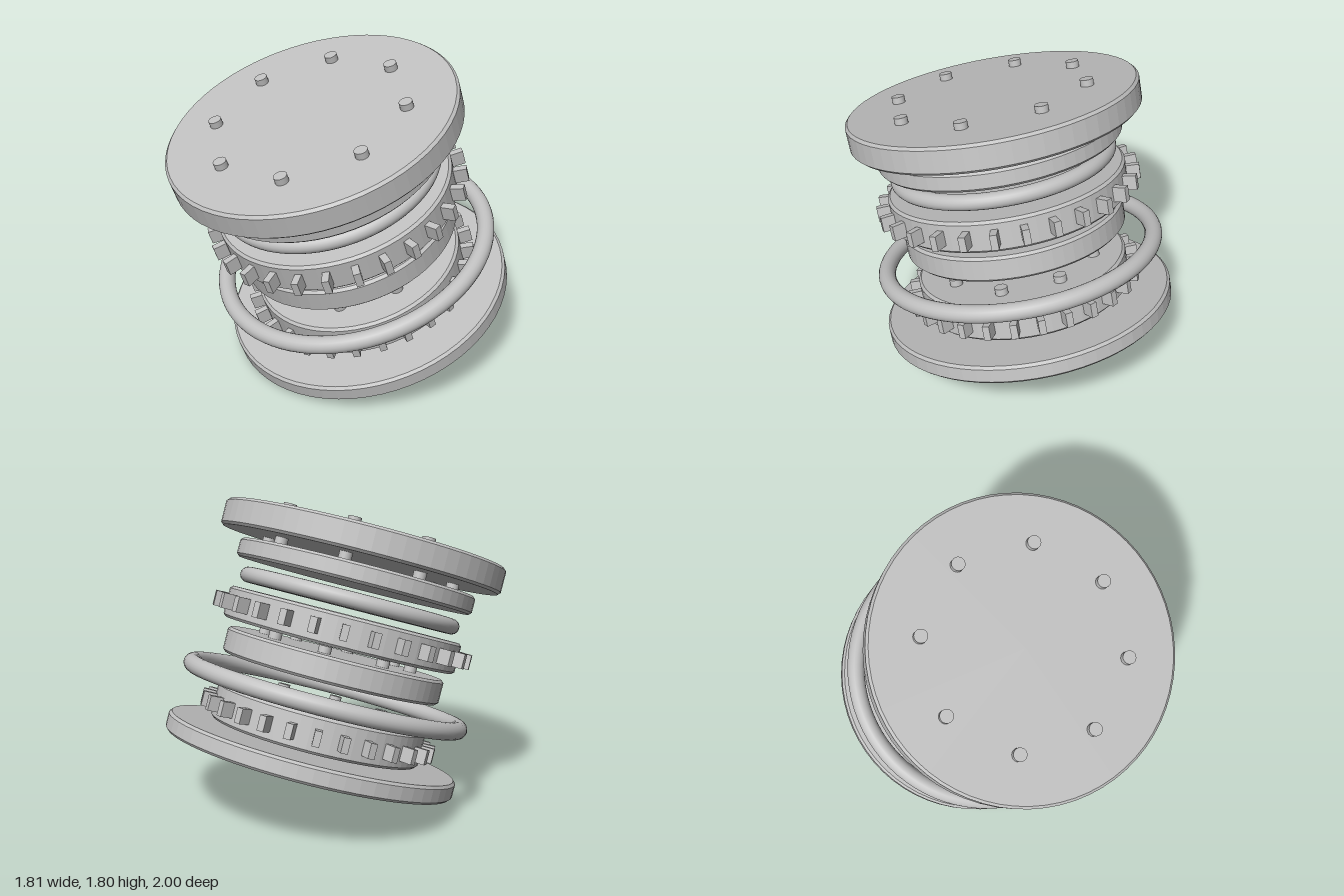
import * as THREE from 'three';

const grey = new THREE.MeshStandardMaterial({ color: 0xc0c0c0 });
grey.name = 'plain grey';

const SEG = 64;

// Solid disc from height y0 to y1 with small bevelled rims and crisp facets
function disc(name, r, y0, y1, bevel = 0.015) {
  const profile = [
    [0, y0], [r - bevel, y0], [r, y0 + bevel],
    [r, y1 - bevel], [r - bevel, y1], [0, y1],
  ].map(([x, y]) => new THREE.Vector2(x, y));
  const geo = new THREE.LatheGeometry(profile, SEG).toNonIndexed();
  geo.computeVertexNormals();
  const mesh = new THREE.Mesh(geo, grey);
  mesh.name = name;
  return mesh;
}

// Round ring lying flat at height y
function ring(name, r, tube, y) {
  const mesh = new THREE.Mesh(new THREE.TorusGeometry(r, tube, 20, 80), grey);
  mesh.rotation.x = Math.PI / 2;
  mesh.position.y = y;
  mesh.name = name;
  return mesh;
}

// Copies of one geometry spaced evenly round the axis, offset by half a step
function circle(name, geo, count, r, y) {
  const group = new THREE.Group();
  group.name = name;
  for (let i = 0; i < count; i++) {
    const a = ((i + 0.5) / count) * Math.PI * 2;
    const mesh = new THREE.Mesh(geo, grey);
    mesh.position.set(Math.cos(a) * r, y, Math.sin(a) * r);
    mesh.rotation.y = -a;
    mesh.name = name + 'Piece';
    group.add(mesh);
  }
  return group;
}

// Eight round pins from height y0 to y1
const pins = (name, r, y0, y1) =>
  circle(name, new THREE.CylinderGeometry(0.037, 0.037, y1 - y0, 20), 8, r, (y0 + y1) / 2);

// Twenty-eight block teeth reaching out to radius r
const teeth = (name, r, y) =>
  circle(name, new THREE.BoxGeometry(0.1, 0.085, 0.04), 28, r - 0.05, y);

export function createModel() {
  const stack = new THREE.Group();
  stack.name = 'stack';
  stack.add(
    // Base and lower toothed wheel
    disc('basePlate', 0.855, 0, 0.105),
    disc('lowerWheel', 0.62, 0.125, 0.33),
    teeth('lowerTeeth', 0.695, 0.22),
    pins('lowerPins', 0.44, 0.3, 0.37),
    // Loose large ring
    ring('largeRing', 0.795, 0.05, 0.4),
    // Middle plate and upper toothed wheel
    disc('middlePlate', 0.645, 0.505, 0.65),
    pins('middlePins', 0.44, 0.62, 0.69),
    disc('upperWheel', 0.69, 0.7, 0.88),
    teeth('upperTeeth', 0.765, 0.79),
    // Small ring and collar under the lid
    ring('smallRing', 0.608, 0.045, 0.963),
    disc('collar', 0.7, 1.053, 1.16),
    // Lid with pins passing through
    disc('lid', 0.83, 1.203, 1.355),
    pins('lidPins', 0.555, 1.16, 1.393),
  );

  // Lean the whole stack forward and slightly to the right
  const axis = new THREE.Vector3(-0.103, 0.951, 0.291).normalize();
  const up = new THREE.Vector3(0, 1, 0);
  stack.quaternion.setFromUnitVectors(up, axis);
  stack.rotateY(THREE.MathUtils.degToRad(1));
  stack.position.set(0.055, 0.263, -0.188);

  const model = new THREE.Group();
  model.name = 'tiltedDiscStack';
  model.add(stack);
  return model;
}
